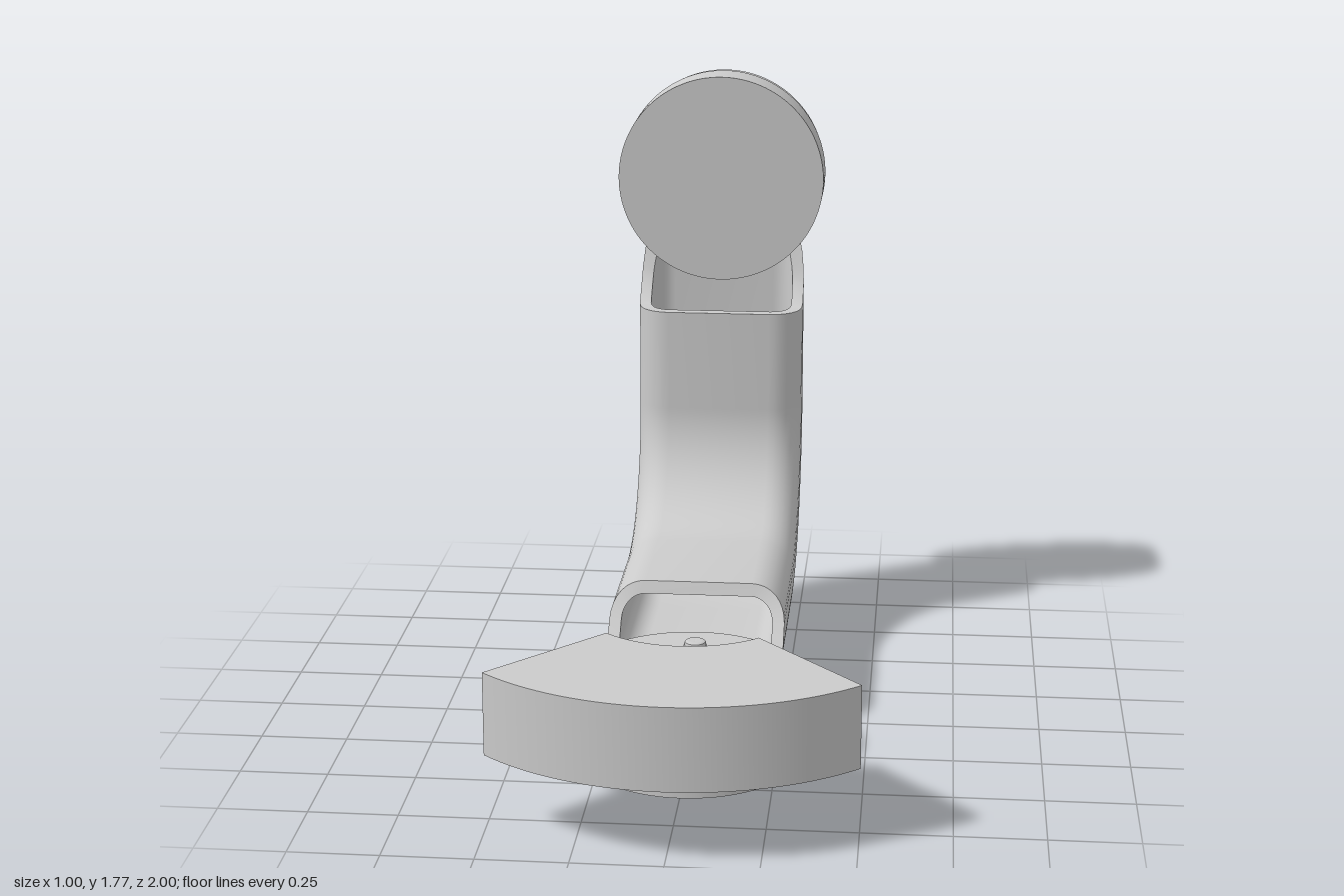
import * as THREE from 'three';
import { toCreasedNormals } from 'three/addons/utils/BufferGeometryUtils.js';

const grey = new THREE.MeshStandardMaterial({ color: 0xcccccc });
const PIVOT_Z = 0.257, HEAD_Y = 1.457;

function mesh(name, geometry, parent) {
  const m = new THREE.Mesh(geometry, grey);
  m.name = name;
  parent.add(m);
  return m;
}

// Skin over rows of points; each row is a closed loop, caps fill the two ends
function skin(rows, caps = false) {
  const n = rows[0].length, index = [], last = (rows.length - 1) * n;
  for (let i = 0; i < rows.length - 1; i++) {
    for (let j = 0; j < n; j++) {
      const k = (j + 1) % n;
      const a = i * n + j, b = a + n, c = (i + 1) * n + k, d = i * n + k;
      index.push(a, d, c, a, c, b);
    }
  }
  for (let k = 1; caps && k < n - 1; k++) {
    index.push(0, k + 1, k, last, last + k, last + k + 1);
  }
  const g = new THREE.BufferGeometry();
  g.setAttribute('position', new THREE.Float32BufferAttribute(rows.flat(2), 3));
  g.setIndex(index);
  return toCreasedNormals(g, 0.5);
}

// Rounded-rectangle outline of the arm (x across, v from outer to inner side), clockwise
function armOutline(inset) {
  const half = 0.255, r = 0.1, c = half - r, pts = [];
  const centres = [[c, half - r], [-c, half - r], [-c, r], [c, r]];
  centres.forEach(([x, v], q) => {
    const corner = [];
    for (let s = 0; s <= 8; s++) {
      const a = (q + s / 8) * Math.PI / 2;
      corner.push([x + (r - inset) * Math.cos(a), v + (r - inset) * Math.sin(a)]);
    }
    pts.push(...corner);
  });
  return pts.reverse();
}

function armGeometry() {
  const bend = 28;
  const station = (i, [x, v]) => {
    // lower end, cut in a curve
    if (i === 0) {
      const t = Math.min(1, (0.255 - v) / 0.2);
      return [x, 0.165 + v, -0.015 + 0.17 * Math.max(0, t) ** 1.4];
    }
    // upper end, cut so that the back wall runs up behind the head
    if (i === bend + 2) {
      const t = Math.min(1, (0.255 - v) / 0.205);
      return [x, 1.05 + 0.2 * Math.max(0, t) ** 4, -0.968 + v];
    }
    const a = (i - 1) / bend * Math.PI / 2, rho = 0.578 - v;
    return [x, 0.743 - rho * Math.cos(a), -0.39 - rho * Math.sin(a)];
  };
  const wall = (inset) => {
    const outline = armOutline(inset), rows = [];
    for (let i = 0; i <= bend + 2; i++) rows.push(outline.map((p) => station(i, p)));
    return rows;
  };
  const outer = wall(0), inner = wall(0.035).reverse();
  return skin([...outer, ...inner, outer[0]]);
}

// Fan-shaped weight with a conical inner face, notched around the front screw
function counterweightGeometry() {
  const spread = 0.742, steps = 72, rows = [];
  for (let i = 0; i <= steps; i++) {
    const th = -spread + 2 * spread * i / steps;
    const s = 0.1 ** 2 - (0.155 * Math.sin(th)) ** 2;
    const notch = s > 0 ? 0.155 * Math.cos(th) + Math.sqrt(s) : 0;
    const profile = [[Math.max(0.2, notch), 0.21]];
    for (let k = 0; k <= 16; k++) {
      const t = k / 16;
      profile.push([Math.max(0.2 + 0.11 * t, notch), 0.25 + 0.196 * t]);
    }
    profile.push([0.742, 0.446], [0.742, 0.21]);
    rows.push(profile.map(([r, y]) => [r * Math.sin(th), y, PIVOT_Z + r * Math.cos(th)]));
  }
  return skin(rows, true);
}

// Disc lying flat from y = 0 to h, with an optional round hole
function discGeometry(r, h, hole) {
  const shape = new THREE.Shape().absarc(0, 0, r, 0, Math.PI * 2);
  if (hole) shape.holes.push(new THREE.Path().absarc(0, 0, hole, 0, Math.PI * 2, true));
  const g = new THREE.ExtrudeGeometry(shape, { depth: h, bevelEnabled: false, curveSegments: 64 });
  return toCreasedNormals(g.rotateX(-Math.PI / 2), 0.5);
}

// Button head with a cross recess
function screw(parent, x, y, z) {
  const g = new THREE.Group();
  g.name = 'screw';
  const profile = [[0, 0], [0.02, 0], [0.034, 0.01], [0.034, 0.016], [0.03, 0.018], [0, 0.018]];
  const base = new THREE.LatheGeometry(profile.map((p) => new THREE.Vector2(...p)), 24);
  mesh('screwHead', toCreasedNormals(base, 0.5), g);
  const top = new THREE.Shape().absarc(0, 0, 0.022, 0, Math.PI * 2);
  const w = 0.004, l = 0.015;
  const cross = [[w, w], [w, l], [-w, l], [-w, w], [-l, w], [-l, -w],
    [-w, -l], [w, -l], [w, -w], [l, -w], [l, w]];
  cross.splice(6, 0, [-w, -w]);
  top.holes.push(new THREE.Path(cross.map((p) => new THREE.Vector2(...p)).reverse()));
  const crown = new THREE.ExtrudeGeometry(top, {
    depth: 0.006, bevelThickness: 0.007, bevelSize: 0.009, bevelOffset: 0,
    bevelSegments: 3, curveSegments: 12,
  });
  crown.rotateX(-Math.PI / 2).translate(0, 0.018, 0);
  mesh('screwCrown', toCreasedNormals(crown, 0.5), g);
  g.position.set(x, y, z);
  parent.add(g);
}

// Motor drum with its mounting plate and four screws
function motor(name, drumH, plateH, hole, screwR, screwTurn) {
  const g = new THREE.Group();
  g.name = name;
  mesh(name + 'Drum', discGeometry(0.316, drumH), g);
  mesh(name + 'Plate', discGeometry(0.31, plateH, hole), g).position.y = drumH;
  for (let i = 0; i < 4; i++) {
    const a = screwTurn + i * Math.PI / 2;
    screw(g, screwR * Math.cos(a), drumH + plateH, screwR * Math.sin(a));
  }
  return g;
}

export function createModel() {
  const model = new THREE.Group();
  model.name = 'motorArm';

  const lower = motor('lowerMotor', 0.162, 0.088, 0.085, 0.162, 0);
  lower.position.z = PIVOT_Z;
  model.add(lower);

  // Upper motor faces backwards with its plate
  const upper = motor('upperMotor', 0.13, 0.055, 0, 0.182, Math.PI / 4);
  upper.rotation.x = -Math.PI / 2;
  upper.position.set(0, HEAD_Y, -0.784);
  model.add(upper);

  mesh('arm', armGeometry(), model);
  mesh('counterweight', counterweightGeometry(), model);
  return model;
}
